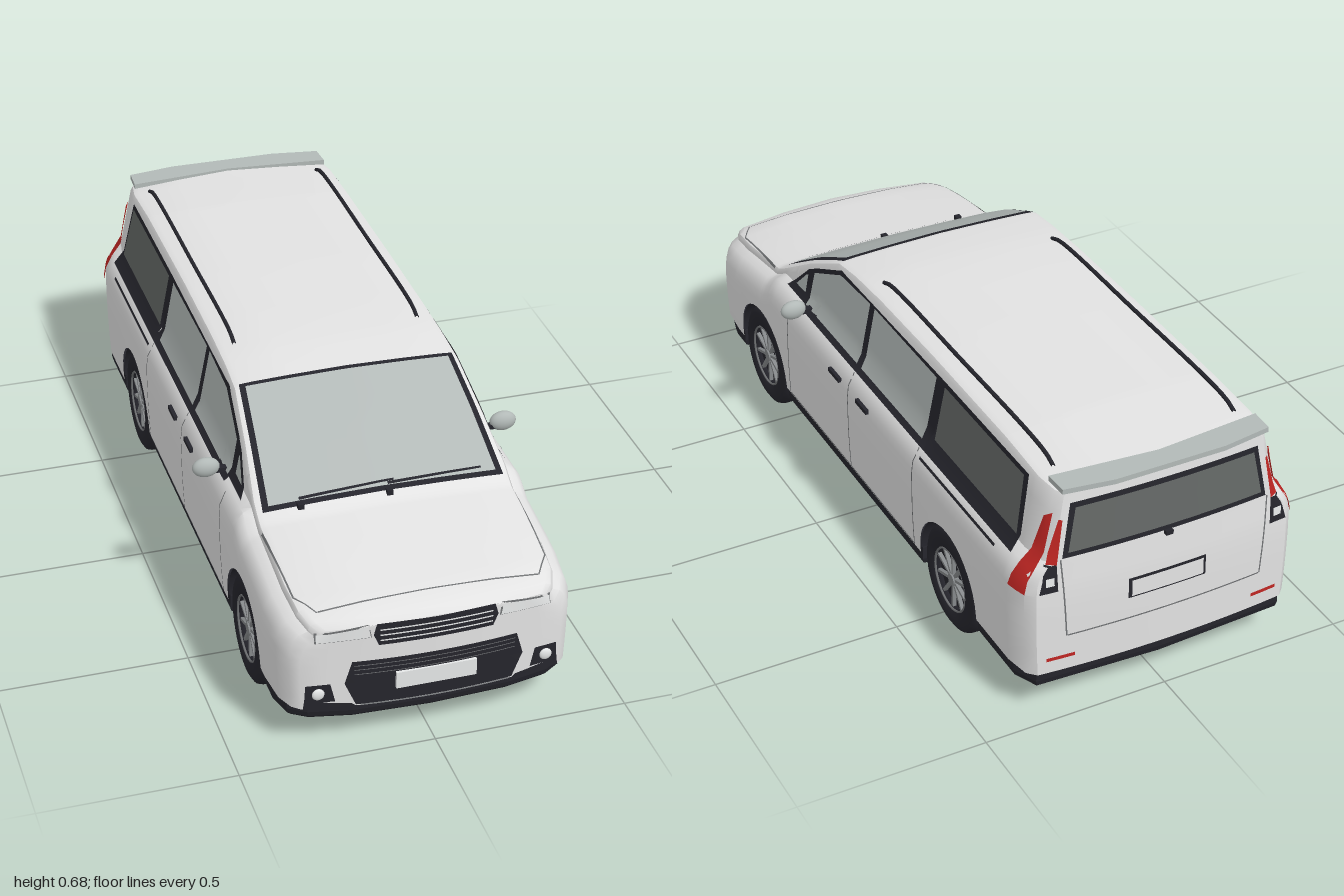
import * as THREE from 'three';
import { mergeGeometries, toCreasedNormals } from 'three/addons/utils/BufferGeometryUtils.js';

const paint = (name, color) => {
  const m = new THREE.MeshStandardMaterial({ color, side: THREE.DoubleSide });
  m.name = name;
  return m;
};
const { lerp, smoothstep } = THREE.MathUtils;
const WHEELS_Z = [0.615, -0.555], AXLE_Y = 0.145, ARCH_R = 0.156;

// Linear interpolation through [position, value] keys with falling positions
function track(keys, s) {
  for (let i = 1; i < keys.length; i++) {
    const [s0, v0] = keys[i - 1], [s1, v1] = keys[i];
    if (s >= s1) return lerp(v0, v1, Math.max(0, (s0 - s) / (s0 - s1)));
  }
  return keys.at(-1)[1];
}
const TOP = [[0.99, 0.365], [0.975, 0.38], [0.93, 0.395], [0.8, 0.415], [0.6, 0.445], [0.575, 0.458], [0.4, 0.565],
  [0.25, 0.64], [0.15, 0.653], [0, 0.661], [-0.3, 0.666], [-0.7, 0.664], [-0.99, 0.652]];
const WIDTH = [[0.99, 0.335], [0.975, 0.357], [0.93, 0.376], [0.82, 0.385], [-0.9, 0.385], [-0.97, 0.372], [-0.99, 0.35]];

// Surface through rows of points
function grid(rows) {
  const n = rows[0].length, index = [];
  for (let r = 0; r < rows.length - 1; r++) for (let j = 0; j < n - 1; j++) {
    const a = r * n + j, b = a + n;
    index.push(a, a + 1, b, a + 1, b + 1, b);
  }
  const geo = new THREE.BufferGeometry();
  geo.setAttribute('position', new THREE.Float32BufferAttribute(rows.flat(2), 3));
  geo.setIndex(index);
  return geo;
}

// Half cross-section of the shell at station s, from sill to roof centre
function section(s) {
  const top = track(TOP, s), w = track(WIDTH, s), k = w / 0.385;
  const shoulder = Math.min(0.43, top - 0.05), edge = top - 0.025;
  const base = Math.min(shoulder + 0.025, edge - 0.005);
  let sill = 0.13;
  for (const z of WHEELS_Z) {
    const d = Math.abs(s - z);
    if (d <= ARCH_R) sill = AXLE_Y + Math.sqrt(ARCH_R ** 2 - d * d);
  }
  const pts = [];
  for (let i = 0; i <= 4; i++) {
    const y = lerp(sill, shoulder - 0.06, i / 4);
    pts.push([w * (1 - 0.015 * (Math.max(0, 0.3 - y) / 0.17) ** 2), y]);
  }
  pts.push([0.992 * w, shoulder - 0.035], [0.968 * w, shoulder - 0.008], [0.93 * w, shoulder + 0.01]);
  const glassX = y => k * (0.335 - 0.2 * Math.max(0, y - 0.455));
  for (let i = 0; i <= 4; i++) {
    const y = lerp(base, edge, i / 4);
    pts.push([glassX(y), y]);
  }
  const e = glassX(edge);
  pts.push([e - 0.006, top - 0.014], [e - 0.02, top - 0.008], [0.5 * e, top - 0.003], [0, top]);
  return pts;
}

// Rounds nose and tail in plan and leans the tail forward
const bend = (s, x, y) => [x, y, s - smoothstep(s, 0.7, 0.99) * 0.3 * x * x
  + smoothstep(-s, 0.7, 0.99) * (0.15 * x * x + 0.09 * Math.max(0, y - 0.35))];

function bodyGeometry() {
  const stations = new Set([...TOP, ...WIDTH].map(k => k[0]));
  for (let i = -11; i <= 11; i++) stations.add(i * 0.08);
  for (const z of WHEELS_Z) {
    for (let i = 0; i <= 18; i++) stations.add(z + ARCH_R * 0.9999 * Math.cos(i * Math.PI / 18));
    stations.add(z + ARCH_R + 0.001).add(z - ARCH_R - 0.001);
  }
  const list = [...stations].sort((a, b) => a - b);
  const shell = grid(list.map(s => {
    const half = section(s);
    const other = half.slice(0, -1).reverse().map(([x, y]) => [-x, y]);
    return [...half, ...other].map(([x, y]) => bend(s, x, y));
  }));
  const cap = (s, dir) => grid(section(s).map(([x, y]) =>
    Array.from({ length: 13 }, (_, c) => bend(s, x * dir * (c / 6 - 1), y))));
  return toCreasedNormals(mergeGeometries([shell, cap(0.99, 1), cap(-0.99, -1)]), 0.6);
}

export function createModel() {
  const car = new THREE.Group();
  const white = paint('body white', 0xe2e2e2), glass = paint('pale glass', 0xb2b9b7);
  const tinted = paint('tinted glass', 0x646866), black = paint('black trim', 0x25252c);
  const red = paint('lamp red', 0xc02623), metal = paint('wheel metal', 0x85888a);
  const lamp = paint('lamp white', 0xeceeee), seam = paint('seam grey', 0x707274);

  const add = (name, geo, mat, pos = [0, 0, 0], parent = car) => {
    const m = new THREE.Mesh(geo, mat);
    m.name = name;
    m.position.set(...pos);
    parent.add(m);
    return m;
  };
  const body = add('body', bodyGeometry(), white);
  body.updateMatrixWorld();

  // Projects a 2D point onto the shell: side uses (z,y), front and back (x,y), top (x,z)
  const ray = new THREE.Raycaster();
  const FACES = {
    side: [[1, 0, 0], (a, b) => [2, b, a]], front: [[0, 0, 1], (a, b) => [a, b, 2]],
    back: [[0, 0, -1], (a, b) => [a, b, -2]], top: [[0, 1, 0], (a, b) => [a, 2, b]],
  };
  function project(face, a, b, lift) {
    const out = new THREE.Vector3(...FACES[face][0]);
    ray.set(new THREE.Vector3(...FACES[face][1](a + 1.3e-4, b + 1.1e-4)), out.clone().negate());
    const hit = ray.intersectObject(body)[0];
    return hit ? hit.point.addScaledVector(out, lift).toArray() : null;
  }
  // Thin four-cornered panel lying on the shell, optionally mirrored to the other side
  function panel(name, mat, face, [a, b, c, d], lift = 0.003, mirror = face === 'side') {
    const len = (p, q) => Math.hypot(p[0] - q[0], p[1] - q[1]);
    const nu = Math.max(1, Math.ceil(Math.max(len(a, b), len(c, d)) / 0.04));
    const nv = Math.max(1, Math.ceil(Math.max(len(b, c), len(a, d)) / 0.04));
    const rows = [];
    let last = [0, 0.3, 0];
    for (let j = 0; j <= nv; j++) {
      rows.push([]);
      for (let i = 0; i <= nu; i++) {
        const at = k => lerp(lerp(a[k], b[k], i / nu), lerp(d[k], c[k], i / nu), j / nv);
        last = project(face, at(0), at(1), lift) ?? last;
        rows[j].push(last);
      }
    }
    for (const sx of mirror ? [1, -1] : [1]) {
      const geo = grid(rows.map(r => r.map(([x, y, z]) => [x * sx, y, z])));
      geo.computeVertexNormals();
      add(name, geo, mat);
    }
  }
  const rect = (x0, y0, x1, y1) => [[x0, y0], [x1, y0], [x1, y1], [x0, y1]];

  // Windscreen and side glazing
  panel('windscreenFrame', black, 'top', [[-0.286, 0.245], [0.286, 0.245], [0.316, 0.572], [-0.316, 0.572]], 0.003);
  panel('windscreen', glass, 'top', [[-0.272, 0.258], [0.272, 0.258], [0.299, 0.562], [-0.299, 0.562]], 0.006);
  panel('quarterFrame', black, 'side', [[0.49, 0.447], [0.36, 0.447], [0.36, 0.556], [0.4, 0.535]]);
  panel('quarterGlass', glass, 'side', [[0.465, 0.455], [0.395, 0.455], [0.395, 0.522], [0.405, 0.517]], 0.005);
  panel('windowFrame', black, 'side', [[0.375, 0.437], [-0.39, 0.437], [-0.39, 0.63], [0.22, 0.622]]);
  panel('windowFrameFront', black, 'side', [[0.375, 0.437], [0.3, 0.437], [0.22, 0.622], [0.37, 0.553]]);
  panel('frontDoorGlass', glass, 'side', [[0.365, 0.448], [0.035, 0.448], [0.035, 0.622], [0.215, 0.612]], 0.006);
  panel('frontDoorGlassTip', glass, 'side', [[0.365, 0.448], [0.31, 0.448], [0.215, 0.612], [0.36, 0.545]], 0.006);
  panel('rearDoorGlass', glass, 'side', rect(0.008, 0.448, -0.355, 0.622), 0.006);
  panel('rearWindowFrame', black, 'side', [[-0.385, 0.437], [-0.862, 0.437], [-0.838, 0.63], [-0.385, 0.63]]);
  panel('rearSideGlass', tinted, 'side', [[-0.402, 0.455], [-0.845, 0.455], [-0.822, 0.62], [-0.402, 0.62]], 0.006);

  // Door seams, handles and slider rail
  panel('doorSeam', seam, 'side', rect(0.018, 0.14, 0.022, 0.435));
  panel('doorSeam', seam, 'side', [[0.424, 0.14], [0.42, 0.14], [0.41, 0.43], [0.414, 0.43]]);
  panel('doorSeam', seam, 'side', rect(-0.366, 0.14, -0.37, 0.435));
  panel('sillSeam', seam, 'side', rect(0.42, 0.137, -0.37, 0.141));
  panel('sliderRail', black, 'side', rect(-0.39, 0.417, -0.8, 0.424));
  for (const s of [1, -1]) for (const z of [0.1, -0.07])
    add('doorHandle', new THREE.BoxGeometry(0.012, 0.012, 0.065), black, [s * 0.386, 0.387, z]);

  // Bonnet seams
  panel('bonnetSeam', seam, 'top', [[0.33, 0.62], [0.334, 0.62], [0.324, 0.86], [0.32, 0.86]], 0.003, true);
  panel('bonnetSeam', seam, 'top', [[0.324, 0.86], [0.32, 0.86], [0.28, 0.925], [0.284, 0.925]], 0.003, true);
  panel('bonnetSeam', seam, 'top', rect(-0.28, 0.922, 0.28, 0.926));

  // Front: grilles, plate, headlamps and fog lamps
  panel('upperGrille', black, 'front', [[-0.145, 0.304], [0.145, 0.304], [0.158, 0.335], [-0.158, 0.335]]);
  panel('upperGrille', black, 'front', [[-0.158, 0.335], [0.158, 0.335], [0.15, 0.364], [-0.15, 0.364]]);
  for (const y of [0.317, 0.332, 0.347]) panel('grilleSlat', lamp, 'front', rect(-0.143, y, 0.143, y + 0.004), 0.006);
  panel('lowerGrille', black, 'front', [[-0.228, 0.2], [0.228, 0.2], [0.21, 0.262], [-0.21, 0.262]]);
  panel('lowerGrille', black, 'front', [[-0.2, 0.135], [0.2, 0.135], [0.228, 0.2], [-0.228, 0.2]]);
  for (const y of [0.225, 0.238, 0.25]) panel('grilleSlat', seam, 'front', rect(-0.205, y, 0.205, y + 0.002), 0.006);
  panel('bumperStrip', metal, 'front', rect(-0.19, 0.134, 0.19, 0.138), 0.007);
  add('frontPlate', new THREE.BoxGeometry(0.205, 0.046, 0.008), lamp, [0, 0.197, 0.994]);
  panel('headlampEdge', seam, 'front', [[0.162, 0.328], [0.3, 0.323], [0.3, 0.35], [0.168, 0.364]], 0.002, true);
  panel('headlamp', lamp, 'front', [[0.165, 0.331], [0.297, 0.326], [0.297, 0.347], [0.171, 0.361]], 0.005, true);
  panel('fogSurround', black, 'front', [[0.25, 0.15], [0.325, 0.15], [0.322, 0.2], [0.262, 0.202]], 0.003, true);
  panel('bumperCorner', black, 'front', [[0.2, 0.132], [0.328, 0.132], [0.325, 0.155], [0.21, 0.14]], 0.003, true);
  for (const s of [1, -1])
    add('fogLamp', new THREE.SphereGeometry(0.016, 16, 10).scale(1, 1, 0.4), lamp, [s * 0.292, 0.176, 0.97]);

  // Rear: window, plate, lamps and hatch seams
  panel('tailWindowFrame', black, 'back', [[-0.283, 0.462], [0.283, 0.462], [0.258, 0.61], [-0.258, 0.61]]);
  panel('tailWindow', tinted, 'back', [[-0.268, 0.477], [0.268, 0.477], [0.246, 0.597], [-0.246, 0.597]], 0.006);
  panel('plateFrame', black, 'back', rect(-0.108, 0.296, 0.108, 0.354));
  panel('rearPlate', white, 'back', rect(-0.1, 0.302, 0.1, 0.348), 0.006);
  panel('hatchSeam', seam, 'back', [[0.27, 0.235], [0.274, 0.235], [0.289, 0.46], [0.285, 0.46]], 0.003, true);
  panel('hatchSeam', seam, 'back', rect(-0.27, 0.233, 0.27, 0.237));
  panel('tailLampSide', red, 'side', [[-0.893, 0.372], [-0.952, 0.372], [-0.945, 0.585], [-0.925, 0.57]], 0.006);
  panel('tailLampBack', black, 'back', [[0.296, 0.375], [0.345, 0.375], [0.325, 0.45], [0.298, 0.45]], 0.004, true);
  panel('tailLampRed', red, 'back', [[0.298, 0.45], [0.322, 0.45], [0.288, 0.57], [0.28, 0.57]], 0.005, true);
  panel('reverseLamp', lamp, 'back', rect(0.306, 0.395, 0.328, 0.418), 0.007, true);
  panel('rearReflector', red, 'back', rect(0.25, 0.168, 0.325, 0.178), 0.004, true);
  add('rearWiper', new THREE.BoxGeometry(0.02, 0.012, 0.016), black, [0, 0.458, -0.985]);

  // Roof spoiler
  const wing = new THREE.Shape([[-0.285, -0.9], [0, -0.925], [0.285, -0.9], [0.282, -0.965], [0.15, -0.985],
    [-0.15, -0.985], [-0.282, -0.965]].map(p => new THREE.Vector2(...p)));
  add('spoiler', new THREE.ExtrudeGeometry(wing, { depth: 0.014, bevelEnabled: false }).rotateX(Math.PI / 2), glass, [0, 0.66, 0]);

  // Windscreen wipers
  for (const x of [-0.22, 0.012]) {
    add('wiperPivot', new THREE.BoxGeometry(0.016, 0.014, 0.016), black, [x, 0.461, 0.577]);
    panel('wiperBlade', black, 'top', [[x, 0.556], [x + 0.25, 0.55], [x + 0.25, 0.555], [x, 0.563]], 0.009);
  }

  // Roof rails and mirrors
  for (const s of [1, -1]) {
    const rail = new THREE.CatmullRomCurve3([[0.07, 0.652], [0.03, 0.665], [-0.35, 0.671], [-0.82, 0.666], [-0.86, 0.652]]
      .map(([z, y]) => new THREE.Vector3(s * 0.25, y, z)));
    add('roofRail', new THREE.TubeGeometry(rail, 30, 0.0055, 8), black);
    add('mirror', new THREE.SphereGeometry(1, 24, 16).scale(0.036, 0.027, 0.02), glass, [s * 0.4, 0.462, 0.337]);
    add('mirrorArm', new THREE.BoxGeometry(0.05, 0.012, 0.018), black, [s * 0.352, 0.451, 0.337]);
  }

  // Underbody and bumpers, notched at the wheels
  const half = [[0, 0.972], [0.2, 0.963], [0.31, 0.94], [0.355, 0.91], [0.374, 0.84]];
  for (const z of WHEELS_Z)
    half.push([0.374, z + ARCH_R], [0.27, z + ARCH_R], [0.27, z - ARCH_R], [0.374, z - ARCH_R]);
  half.push([0.374, -0.9], [0.345, -0.965], [0, -0.982]);
  const outline = [...half, ...half.slice(1, -1).reverse().map(([x, z]) => [-x, z])];
  add('underbody', new THREE.ExtrudeGeometry(new THREE.Shape(outline.map(p => new THREE.Vector2(...p))), {
    depth: 0.035, bevelThickness: 0.03, bevelSize: 0.03, bevelOffset: -0.03, bevelSegments: 3,
  }).rotateX(Math.PI / 2), black, [0, 0.14, 0]);

  // Wheels and arch liners
  const tyre = new THREE.LatheGeometry([[0.086, -0.045], [0.128, -0.045], [0.141, -0.037], [0.145, -0.024], [0.145, 0.024],
    [0.141, 0.037], [0.128, 0.045], [0.09, 0.045], [0.086, 0.025]].map(p => new THREE.Vector2(...p)), 40).rotateZ(-Math.PI / 2);
  const across = geo => geo.rotateZ(-Math.PI / 2);
  for (const z of WHEELS_Z) for (const s of [1, -1]) {
    const wheel = new THREE.Group();
    wheel.name = 'wheel';
    wheel.position.set(s * 0.331, AXLE_Y, z);
    if (s < 0) wheel.rotation.y = Math.PI;
    car.add(wheel);
    add('tyre', tyre, black, [0, 0, 0], wheel);
    add('rimDisc', across(new THREE.CylinderGeometry(0.088, 0.088, 0.065, 32)), black, [-0.007, 0, 0], wheel);
    add('rimRing', new THREE.TorusGeometry(0.085, 0.003, 6, 40).rotateY(Math.PI / 2), seam, [0.042, 0, 0], wheel);
    add('hub', across(new THREE.CylinderGeometry(0.016, 0.018, 0.016, 20)), metal, [0.033, 0, 0], wheel);
    for (let i = 0; i < 10; i++) {
      const spoke = new THREE.BoxGeometry(0.01, 0.07, 0.008).translate(0, 0.05, 0).rotateX(i * Math.PI / 5);
      add('spoke', spoke, metal, [0.032, 0, 0], wheel);
    }
    const liner = new THREE.CylinderGeometry(ARCH_R, ARCH_R, 0.108, 24, 1, true, 0, Math.PI).rotateZ(Math.PI / 2);
    add('archLiner', liner, black, [s * 0.324, AXLE_Y, z]);
    add('archWall', new THREE.CircleGeometry(ARCH_R, 24, 0, Math.PI).rotateY(Math.PI / 2), black, [s * 0.27, AXLE_Y, z]);
  }
  return car;
}
